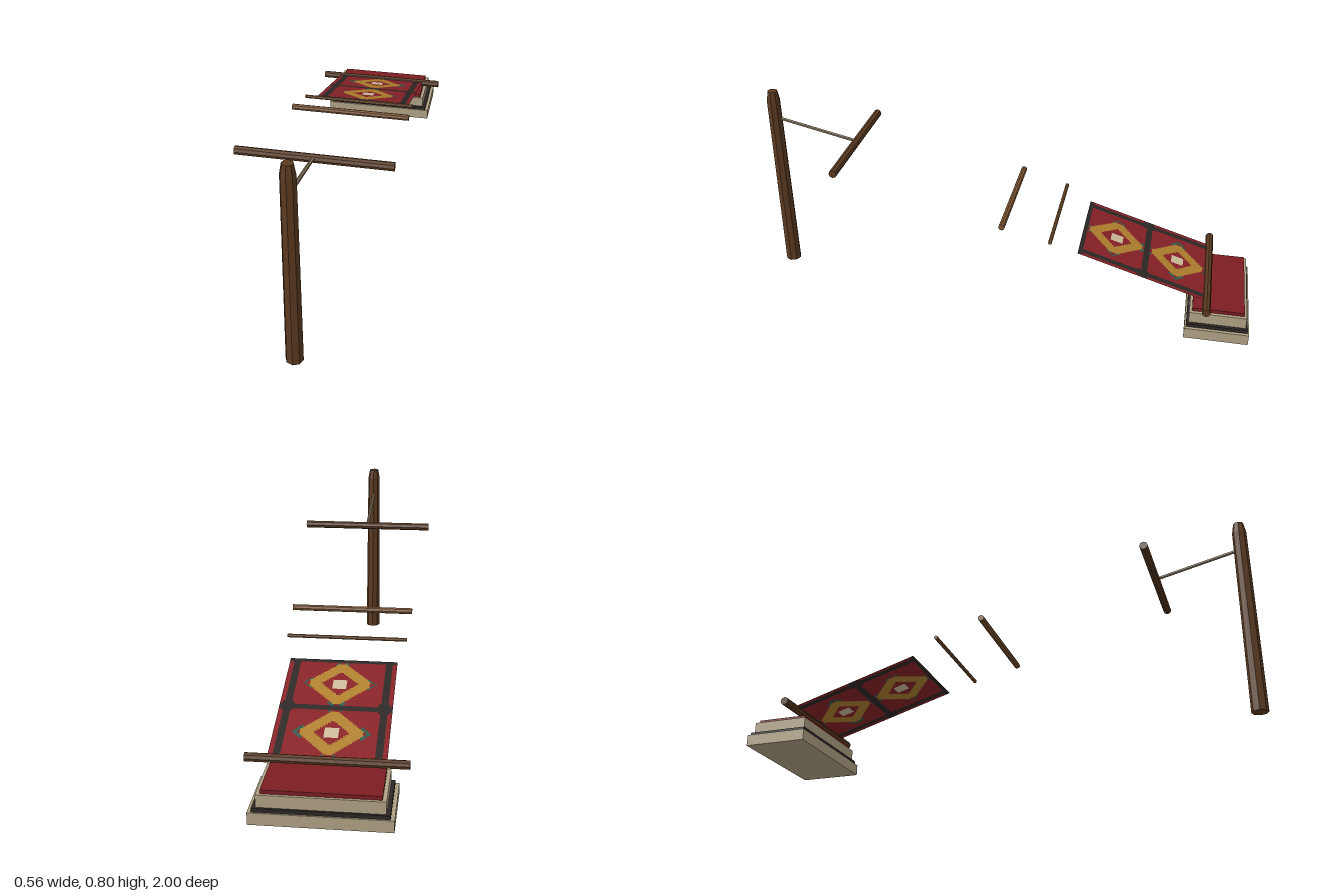
import * as THREE from 'three';

const mat = (name, color, side = THREE.FrontSide) => {
  const m = new THREE.MeshStandardMaterial({ color, side, flatShading: true });
  m.name = name;
  return m;
};

export function createModel() {
  const root = new THREE.Group();
  root.name = 'backstrapLoom';
  const M = {
    wood: mat('darkWood', 0x5a3a20),
    rod: mat('lightWood', 0x7d5532),
    rope: mat('rope', 0x8a795f),
    stone: mat('paleStone', 0xb0a285),
    dark: mat('charcoal', 0x2c2725, THREE.DoubleSide),
    cushion: mat('deepRed', 0x7c1d22),
    red: mat('wovenRed', 0x882126, THREE.DoubleSide),
    gold: mat('wovenGold', 0xb0802e, THREE.DoubleSide),
    teal: mat('wovenTeal', 0x2f5a4c, THREE.DoubleSide),
    cream: mat('wovenCream', 0xcdbb9c, THREE.DoubleSide),
  };
  const add = (name, geo, material, x, y, z, parent = root) => {
    const mesh = new THREE.Mesh(geo, material);
    mesh.name = name;
    mesh.position.set(x, y, z);
    parent.add(mesh);
    return mesh;
  };

  // Upright post, with a chamfered top
  const post = new THREE.Group();
  post.name = 'post';
  root.add(post);
  add('postShaft', new THREE.CylinderGeometry(0.0275, 0.032, 0.755, 8, 1), M.wood, 0, 0.3775, 0.967, post);
  add('postTip', new THREE.CylinderGeometry(0.02, 0.0275, 0.041, 8, 1), M.wood, 0, 0.7755, 0.967, post);

  // Rope from the post to the far bar
  const a = new THREE.Vector3(0, 0.676, 0.945), b = new THREE.Vector3(0, 0.605, 0.63);
  const dir = b.clone().sub(a);
  const rope = add('tieRope', new THREE.CylinderGeometry(0.007, 0.007, dir.length(), 6), M.rope, 0, 0, 0);
  rope.position.copy(a).add(b).multiplyScalar(0.5);
  rope.quaternion.setFromUnitVectors(new THREE.Vector3(0, 1, 0), dir.normalize());

  // Crosswise bars and rods: name, material, radius, length, y, z
  for (const [name, m, r, len, y, z] of [
    ['farBar', M.wood, 0.016, 0.56, 0.601, 0.628],
    ['heddleRod', M.rod, 0.0125, 0.482, 0.417, -0.023],
    ['shedRod', M.rod, 0.0075, 0.464, 0.365, -0.211],
    ['nearBar', M.wood, 0.016, 0.56, 0.155, -0.825],
  ]) add(name, new THREE.CylinderGeometry(r, r, len, 8), m, 0, y, z).rotation.z = Math.PI / 2;

  // Stepped seat: name, material, width, bottom, top, depth
  for (const [name, m, w, y0, y1, d] of [
    ['seatBase', M.stone, 0.482, 0, 0.044, 0.248],
    ['seatBand', M.dark, 0.455, 0.044, 0.058, 0.236],
    ['seatUpper', M.stone, 0.428, 0.058, 0.103, 0.22],
    ['seatCushion', M.cushion, 0.4, 0.103, 0.117, 0.2],
  ]) add(name, new THREE.BoxGeometry(w, y1 - y0, d), m, 0, (y0 + y1) / 2, -0.874);

  // Woven cloth: u runs across, v runs down from the upper edge
  const cloth = new THREE.Group();
  cloth.name = 'cloth';
  root.add(cloth);
  const top = new THREE.Vector2(0.313, -0.316), end = new THREE.Vector2(0.158, -0.825);
  const L = top.distanceTo(end), W = 0.406, NU = 48, NV = 64;

  const colourAt = (u, v) => {
    const au = Math.abs(u);
    if (v < 0.018) return 'dark';
    const mid = Math.abs(v - 0.268);
    if (au > 0.164 && au < 0.186) return 'dark';
    if (au > 0.156 && au < 0.194 && mid < 0.023) return 'dark';
    if (mid < 0.014) return 'dark';
    for (const c of [0.139, 0.399]) {
      const dv = Math.abs(v - c);
      if (au < 0.024 && dv < 0.024) return 'cream';
      const d = au + dv;
      if (d < 0.066) return 'red';
      if (d < 0.125 && au < 0.108 && dv < 0.112) return 'gold';
      if (d > 0.125 && d < 0.137 && (dv > 0.105 || au > 0.105)) return 'teal';
    }
    return 'red';
  };

  // Merge equal neighbours in each row into one quad per run
  const quads = {};
  const point = (i, j) => {
    const t = j / NV;
    return [(i / NU - 0.5) * W, top.x + (end.x - top.x) * t, top.y + (end.y - top.y) * t];
  };
  const cell = (i, j) => colourAt(((i + 0.5) / NU - 0.5) * W, ((j + 0.5) / NV) * L);
  for (let j = 0; j < NV; j++) {
    for (let i = 0, k; i < NU; i = k) {
      const c = cell(i, j);
      for (k = i + 1; k < NU && cell(k, j) === c;) k++;
      const p = [point(i, j), point(k, j), point(k, j + 1), point(i, j + 1)];
      (quads[c] ??= []).push(...[0, 1, 2, 0, 2, 3].flatMap((n) => p[n]));
    }
  }
  for (const [c, pos] of Object.entries(quads)) {
    const geo = new THREE.BufferGeometry();
    geo.setAttribute('position', new THREE.Float32BufferAttribute(pos, 3));
    geo.computeVertexNormals();
    add(`${c}Weave`, geo, M[c], 0, 0, 0, cloth);
  }
  return root;
}
